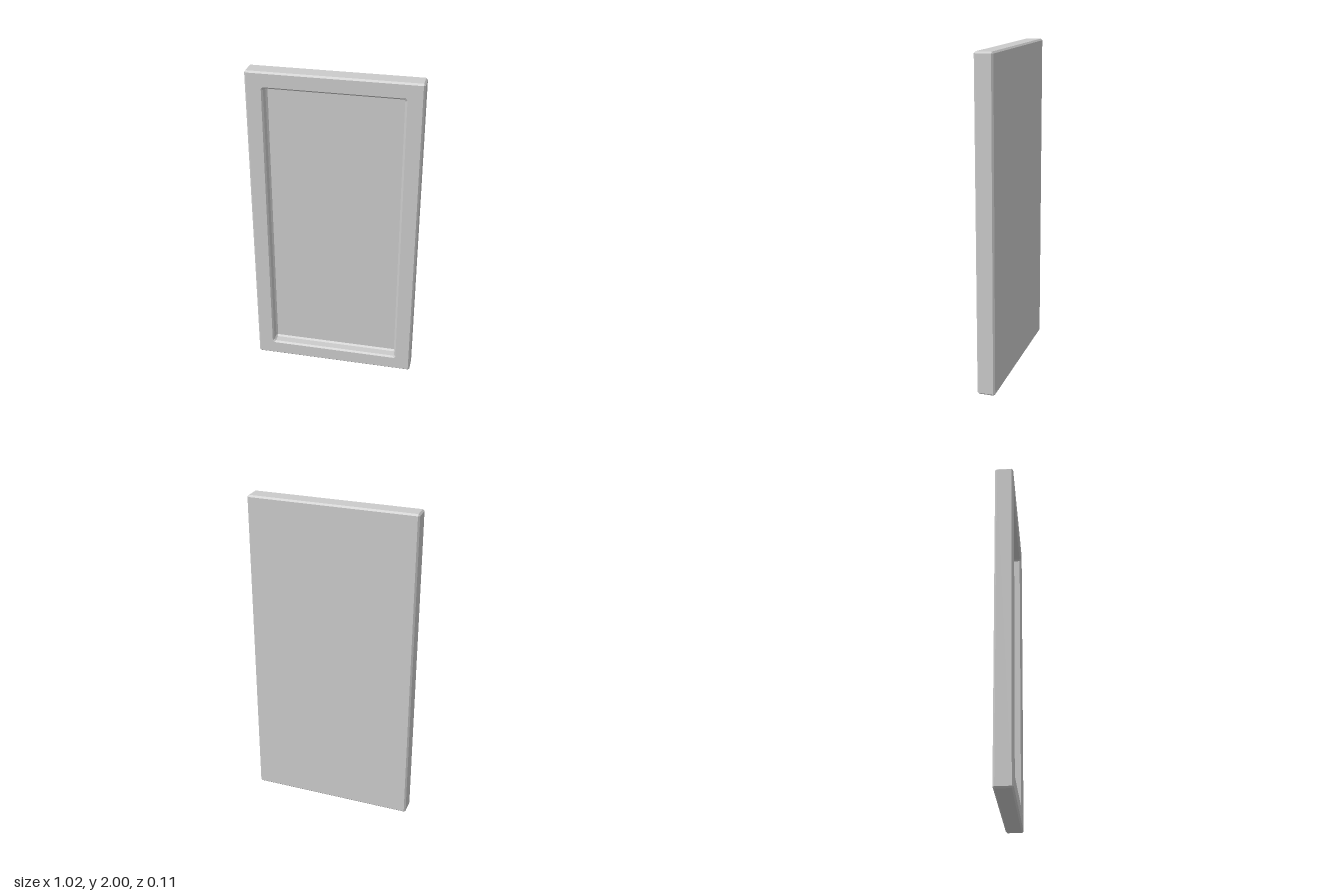
import * as THREE from 'three';

const material = new THREE.MeshStandardMaterial({ color: 0xcccccc, flatShading: true });

// Rectangle with clipped corners, counter-clockwise seen from +z
function ring({ w, h, c = 0, z }) {
  return [
    [w, -h + c], [w, h - c], [w - c, h], [-w + c, h],
    [-w, h - c], [-w, -h + c], [-w + c, -h], [w - c, -h],
  ].map(([x, y]) => new THREE.Vector3(x, y + 1, z));
}

// Flat-shaded skin through consecutive rings
function loft(name, sections) {
  const rings = sections.map(ring);
  const points = [];
  const addTriangle = (a, b, c) => {
    if (new THREE.Triangle(a, b, c).getArea() > 1e-9) points.push(a, b, c);
  };
  for (let i = 0; i < rings.length - 1; i++) {
    for (let j = 0; j < 8; j++) {
      const k = (j + 1) % 8;
      addTriangle(rings[i][j], rings[i][k], rings[i + 1][k]);
      addTriangle(rings[i][j], rings[i + 1][k], rings[i + 1][j]);
    }
  }
  const geometry = new THREE.BufferGeometry().setFromPoints(points);
  geometry.computeVertexNormals();
  const mesh = new THREE.Mesh(geometry, material);
  mesh.name = name;
  return mesh;
}

export function createModel() {
  const W = 0.51, H = 1, D = 0.055; // outer half sizes
  const B = 0.01; // bevel width
  const floorZ = -0.01;

  const group = new THREE.Group();
  group.name = 'framedPanel';

  // Bevelled slab with a closed back, and the walls of the front recess
  group.add(loft('frame', [
    { w: 0, h: 0, z: -D },
    { w: W - B, h: H - B, z: -D },
    { w: W, h: H, c: B, z: -D + B },
    { w: W, h: H, c: B, z: D - B },
    { w: W - B, h: H - B, z: D },
    { w: 0.415, h: 0.91, c: B, z: D },
    { w: 0.405, h: 0.9, c: B, z: D - B },
    { w: 0.405, h: 0.9, c: B, z: floorZ + B },
    { w: 0.395, h: 0.89, z: floorZ },
  ]));

  // Recessed front surface
  const panel = new THREE.Mesh(new THREE.PlaneGeometry(0.79, 1.78), material);
  panel.name = 'recessedPanel';
  panel.position.set(0, 1, floorZ);
  group.add(panel);

  return group;
}
